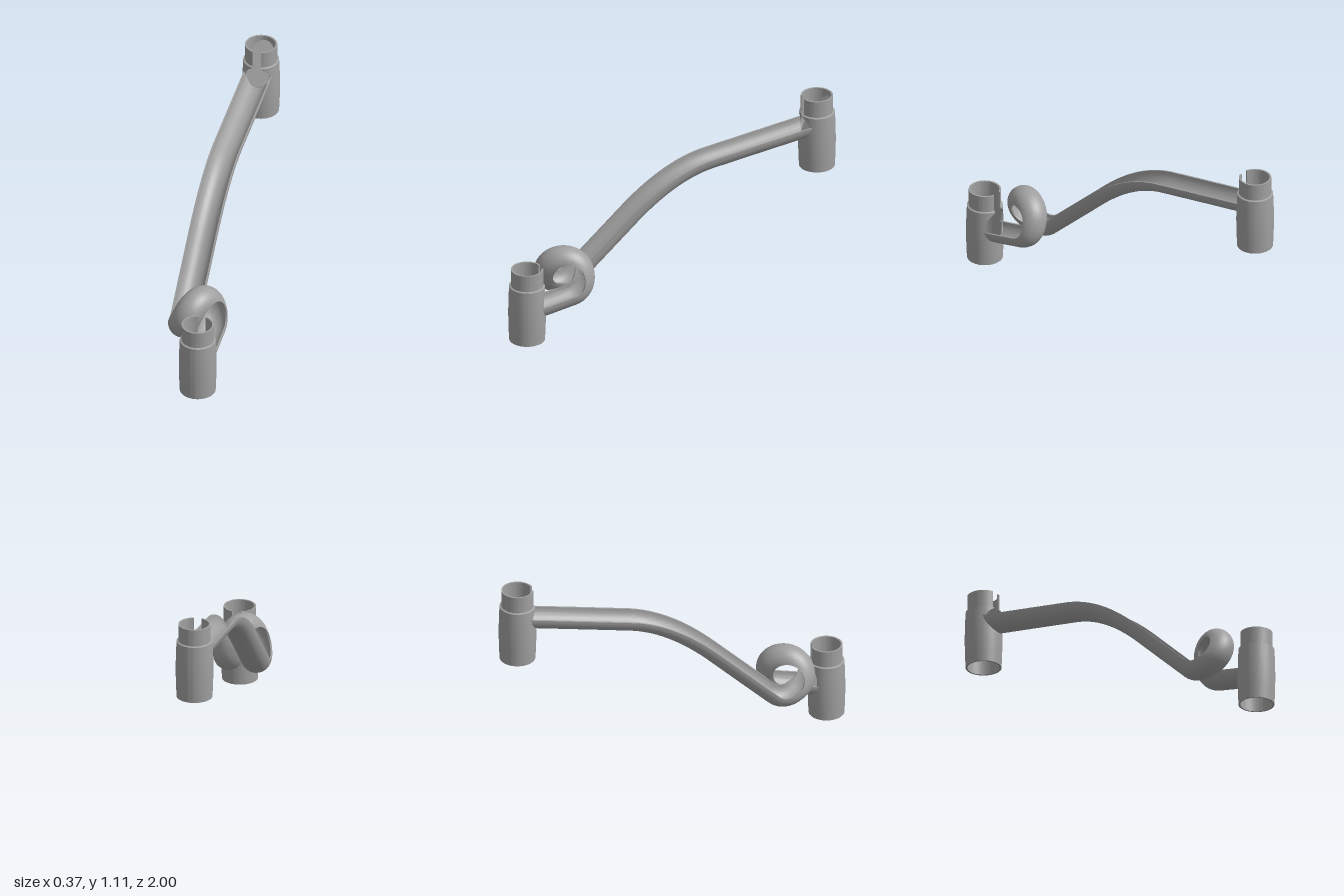
import * as THREE from 'three';
import { mergeGeometries, toCreasedNormals } from 'three/addons/utils/BufferGeometryUtils.js';

const CUP_Z = 0.895, START_X = -0.084, END_X = 0.08;
const STEP = 0.335, CUP_H = 0.437, WALL = 0.01;

// Skin a row of closed thin-walled sections and cap both ends
function skin(rings) {
  const n = rings[0].length, index = [], last = (rings.length - 1) * n;
  for (let j = 0; j < rings.length - 1; j++) {
    for (let k = 0; k < n; k++) {
      const a = j * n + k, d = j * n + (k + 1) % n, b = a + n, c = d + n;
      index.push(a, b, c, a, c, d);
    }
  }
  for (let i = 0; i < n / 2 - 1; i++) {
    const a = i, b = i + 1, c = n - 2 - i, d = n - 1 - i;
    index.push(a, b, c, a, c, d);
    index.push(last + a, last + c, last + b, last + a, last + d, last + c);
  }
  const g = new THREE.BufferGeometry();
  g.setAttribute('position', new THREE.Float32BufferAttribute(
    rings.flat().flatMap(p => [p.x, p.y, p.z]), 3));
  g.setIndex(index);
  return g;
}

// Barrel-shaped body with a narrower collar above
const cupRadius = y => (y > STEP ? 0.09 : 0.1 + 0.005 * Math.sin(Math.PI * y / STEP));
const LEVELS = [0, 0.05, 0.11, 0.17, 0.23, 0.29, STEP, STEP + 0.004, CUP_H];

// Cup wall between two angles, with bottom and top given per angle
function wallPiece(from, to, steps, low, high) {
  const rings = [];
  for (let j = 0; j <= steps; j++) {
    const a = from + (to - from) * j / steps;
    const at = (y, inset) => {
      const r = cupRadius(y) - inset;
      return new THREE.Vector3(r * Math.sin(a), y, r * Math.cos(a));
    };
    const ys = LEVELS.map(y => THREE.MathUtils.clamp(y, low(a), high(a)));
    rings.push([...ys.map(y => at(y, 0)), ...ys.reverse().map(y => at(y, WALL))]);
  }
  return skin(rings);
}

// Cup with a ball opening and a slot above it, both facing +z
function makeCup(channelY, material) {
  const R = 0.073, topY = 0.26;
  const half = Math.asin(R / 0.1), slot = Math.asin(0.028 / 0.1);
  const h = a => Math.sqrt(Math.max(0, R * R - (0.1 * Math.sin(a)) ** 2));
  const zero = () => 0, full = () => CUP_H;
  const above = a => topY + h(a);
  const pieces = [
    wallPiece(half, 2 * Math.PI - half, 60, zero, full),
    wallPiece(-half, half, 24, zero, a => channelY - h(a)),
    wallPiece(slot, half, 10, above, full),
    wallPiece(-half, -slot, 10, above, full),
  ];
  return new THREE.Mesh(toCreasedNormals(mergeGeometries(pieces), 0.5), material);
}

// Centre line: upper straight, bend, steep straight, loop, exit straight
function trackPath() {
  const pts = [];
  const add = (x, y, z) => pts.push(new THREE.Vector3(x, y, z));
  add(START_X, 0.958, -0.87);
  add(START_X, 0.944, -0.78);
  add(START_X, 0.901, -0.5);
  const bend = new THREE.QuadraticBezierCurve(
    new THREE.Vector2(-0.25, 0.862), new THREE.Vector2(-0.007, 0.822), new THREE.Vector2(0.25, 0.58));
  bend.getPoints(28).forEach(p => add(START_X, p.y, p.x));
  add(START_X, 0.43, 0.411);
  const N = 84;
  for (let i = 0; i <= N; i++) {
    const t = i / N, deg = -45 + 395 * t, a = THREE.MathUtils.degToRad(deg);
    // the loop opens out slightly at its two ends
    const r = 0.072 + 0.025 * (1 - THREE.MathUtils.smoothstep(deg, -50, 30))
      + 0.02 * THREE.MathUtils.smoothstep(deg, 265, 350);
    const x = THREE.MathUtils.lerp(START_X, END_X, t * t * (3 - 2 * t));
    add(x, 0.342 - r * Math.cos(a), 0.648 + r * Math.sin(a));
  }
  add(END_X, 0.236, 0.71);
  add(END_X, 0.222, 0.78);
  add(END_X, 0.206, 0.87);
  return pts;
}

// Half-pipe swept along the path, open towards the inside of the loop
function makeTrack(material) {
  const pts = trackPath(), last = pts.length - 1, M = 24, OUTER = 0.083;
  const rings = pts.map((p, i) => {
    const t = new THREE.Vector3();
    if (i > 0) t.add(p.clone().sub(pts[i - 1]).normalize());
    if (i < last) t.add(pts[i + 1].clone().sub(p).normalize());
    t.normalize();
    const up = new THREE.Vector3(0, t.z, -t.y).normalize();
    const side = up.clone().cross(t);
    const ring = [];
    for (let k = 0; k < 2 * (M + 1); k++) {
      const inner = k > M;
      const a = Math.PI * (inner ? 2 * M + 1 - k : k) / M;
      const r = inner ? OUTER - WALL : OUTER;
      const v = p.clone().addScaledVector(side, r * Math.cos(a)).addScaledVector(up, -r * Math.sin(a));
      // trim the end sections to the round cup walls
      if (i === 0 || i === last) {
        const s = v.x - p.x;
        const z = Math.sign(p.z) * (CUP_Z - Math.sqrt(0.0081 - s * s));
        v.y += (z - v.z) * t.y / t.z;
        v.z = z;
      }
      ring.push(v);
    }
    return ring;
  });
  return new THREE.Mesh(toCreasedNormals(skin(rings), 0.6), material);
}

// Sloping floor that guides the ball out of the upper cup
function makeRamp(material) {
  const g = new THREE.CircleGeometry(0.083, 48);
  g.rotateX(-Math.PI / 2);
  const pos = g.attributes.position;
  for (let i = 0; i < pos.count; i++) pos.setY(i, 0.307 - 1.3 * pos.getZ(i));
  g.computeVertexNormals();
  return new THREE.Mesh(g, material);
}

export function createModel() {
  const model = new THREE.Group();
  model.name = 'marbleTrack';
  const grey = new THREE.MeshStandardMaterial({ color: 0xa0a0a0, side: THREE.DoubleSide });
  grey.name = 'grey plastic';

  const upper = new THREE.Group();
  upper.name = 'upperCup';
  const upperWall = makeCup(0.272, grey);
  upperWall.name = 'upperCupWall';
  const ramp = makeRamp(grey);
  ramp.name = 'upperCupRamp';
  upper.add(upperWall, ramp);
  upper.position.set(START_X, 0.674, -CUP_Z);

  const lower = makeCup(0.215, grey);
  lower.name = 'lowerCup';
  lower.rotation.y = Math.PI;
  lower.position.set(END_X, 0, CUP_Z);

  const track = makeTrack(grey);
  track.name = 'loopTrack';

  model.add(upper, lower, track);
  return model;
}
